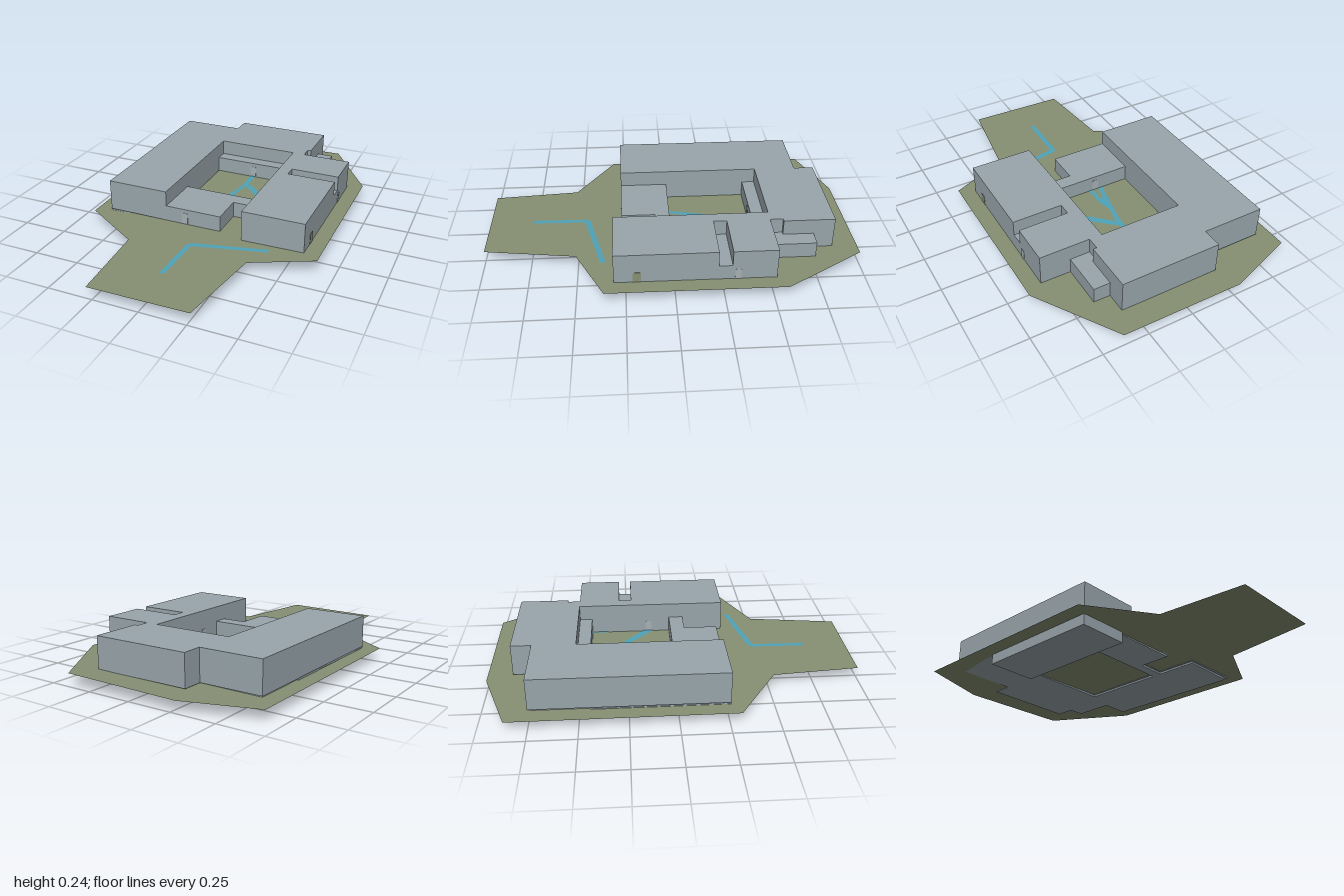
import * as THREE from 'three';

const mat = (name, hex, side = THREE.FrontSide) => {
  const m = new THREE.MeshStandardMaterial({ color: hex, side });
  m.name = name;
  return m;
};

// Plan outlines are lists of [x, z]
const planShape = (pts) => new THREE.Shape(pts.map(([x, z]) => new THREE.Vector2(x, -z)));
const rect = (x0, x1, z0, z1) => [[x0, z1], [x1, z1], [x1, z0], [x0, z0]];
const groundY = (x, z) => 0.066 + 0.014 * x + 0.002 * z;

// Solid block raised from a plan outline
function block(name, outline, y0, y1, material, hole) {
  const shape = planShape(outline);
  if (hole) shape.holes.push(planShape(hole));
  const geo = new THREE.ExtrudeGeometry(shape, { depth: y1 - y0, bevelEnabled: false });
  geo.rotateX(-Math.PI / 2).translate(0, y0, 0);
  const mesh = new THREE.Mesh(geo, material);
  mesh.name = name;
  return mesh;
}

// Thin sheet that follows the sloping ground
function sheet(name, outline, lift, material) {
  const geo = new THREE.ShapeGeometry(planShape(outline)).rotateX(-Math.PI / 2);
  const p = geo.attributes.position;
  for (let i = 0; i < p.count; i++) p.setY(i, groundY(p.getX(i), p.getZ(i)) + lift);
  geo.computeVertexNormals();
  const mesh = new THREE.Mesh(geo, material);
  mesh.name = name;
  return mesh;
}

export function createModel() {
  const model = new THREE.Group();
  model.name = 'courtyardBuilding';
  const wall = mat('wallGrey', 0x98a5ab);
  const grass = mat('groundGreen', 0x868f73, THREE.DoubleSide);
  const path = mat('pathBlue', 0x4fa3b8, THREE.DoubleSide);
  const pale = mat('doorGrey', 0xa6afb3);

  // Site
  model.add(sheet('ground', [
    [-0.28, 1], [0.27, 1], [0.34, 0.51], [0.66, 0.36], [0.66, -0.57], [0.39, -1],
    [-0.28, -1], [-0.665, -0.865], [-0.665, 0.31], [-0.32, 0.53],
  ], 0, grass));

  // Floor slab, set back slightly, with the courtyard left open
  model.add(block('floorSlab', [
    [-0.57, 0.25], [0.08, 0.25], [0.08, 0.07], [0.24, 0.07], [0.24, 0.3], [0.56, 0.3],
    [0.56, -0.51], [0.4, -0.51], [0.4, -0.74], [0.31, -0.74], [0.31, -0.85],
    [-0.22, -0.85], [-0.22, -0.74], [-0.57, -0.74],
  ], 0.057, 0.069, wall, rect(-0.24, 0.24, -0.46, 0.015)));

  // Tall wings around the courtyard
  model.add(block('tallWings', [
    [-0.58, 0.265], [-0.23, 0.265], [-0.23, -0.52], [0.23, -0.52], [0.23, 0.31], [0.575, 0.31],
    [0.575, -0.22], [0.3, -0.22], [0.3, -0.29], [0.575, -0.29], [0.575, -0.52], [0.3, -0.52],
    [0.3, -0.59], [0.32, -0.59], [0.32, -0.865], [-0.23, -0.865], [-0.23, -0.755], [-0.58, -0.755],
  ], 0.067, 0.24, wall));

  // Low links between the wings
  const low = [
    ['southLink', [[-0.23, 0.265], [0.09, 0.265], [0.09, 0.08], [0.23, 0.08], [0.23, 0], [-0.23, 0]]],
    ['northCorridor', rect(-0.23, 0.23, -0.52, -0.45)],
    ['eastPassage', rect(0.3, 0.575, -0.29, -0.22)],
    ['cornerAnnex', [[0.3, -0.52], [0.41, -0.52], [0.41, -0.755], [0.32, -0.755], [0.32, -0.59], [0.3, -0.59]]],
  ];
  for (const [name, outline] of low) model.add(block(name, outline, 0.067, 0.155, wall));

  model.add(block('basement', rect(-0.58, -0.3, -0.44, 0.265), 0, 0.06, wall));

  // Paths
  const paths = [
    ['entrancePath', [[-0.015, 0.76], [0.012, 0.76], [0.018, 0.47], [0.405, 0.38], [0.405, 0.352], [0.01, 0.44], [-0.01, 0.46]]],
    ['courtyardPath', [[-0.015, -0.45], [0.013, -0.45], [0.013, -0.3], [-0.05, 0], [-0.075, 0], [-0.015, -0.29]]],
    ['eastBranch', [[0.013, -0.335], [0.013, -0.3], [0.23, -0.09], [0.23, -0.15], [0.04, -0.32]]],
    ['southBranch', [[-0.015, -0.2], [-0.04, -0.07], [-0.015, -0.1], [-0.012, 0], [0.012, 0], [0.008, -0.13]]],
    ['sidePath', rect(0.218, 0.23, -0.45, -0.36)],
  ];
  for (const [name, outline] of paths) model.add(sheet(name, outline, 0.003, path));

  // Doors: thin plates with rounded tops, turned to face outward
  const doors = [
    ['frontDoor', -0.118, 0.265, 0, 0.035, pale],
    ['sideDoor', 0.575, 0.193, Math.PI / 2, 0.042, grass],
    ['passageDoor', 0.575, -0.32, Math.PI / 2, 0.032, pale],
    ['northCourtyardDoor', 0, -0.45, 0, 0.035, pale],
    ['southCourtyardDoor', -0.03, 0, Math.PI, 0.035, pale],
    ['eastCourtyardDoor', 0.23, -0.12, -Math.PI / 2, 0.035, pale],
  ];
  for (const [name, x, z, turn, w, material] of doors) {
    const h = 0.06, r = 0.008;
    const s = new THREE.Shape();
    s.moveTo(-w / 2, 0);
    s.lineTo(w / 2, 0);
    s.lineTo(w / 2, h - r);
    s.quadraticCurveTo(w / 2, h, w / 2 - r, h);
    s.lineTo(r - w / 2, h);
    s.quadraticCurveTo(-w / 2, h, -w / 2, h - r);
    const door = new THREE.Mesh(
      new THREE.ExtrudeGeometry(s, { depth: 0.002, bevelEnabled: false, curveSegments: 3 }), material);
    door.name = name;
    door.position.set(x, 0.073, z);
    door.rotation.y = turn;
    model.add(door);
  }
  return model;
}
